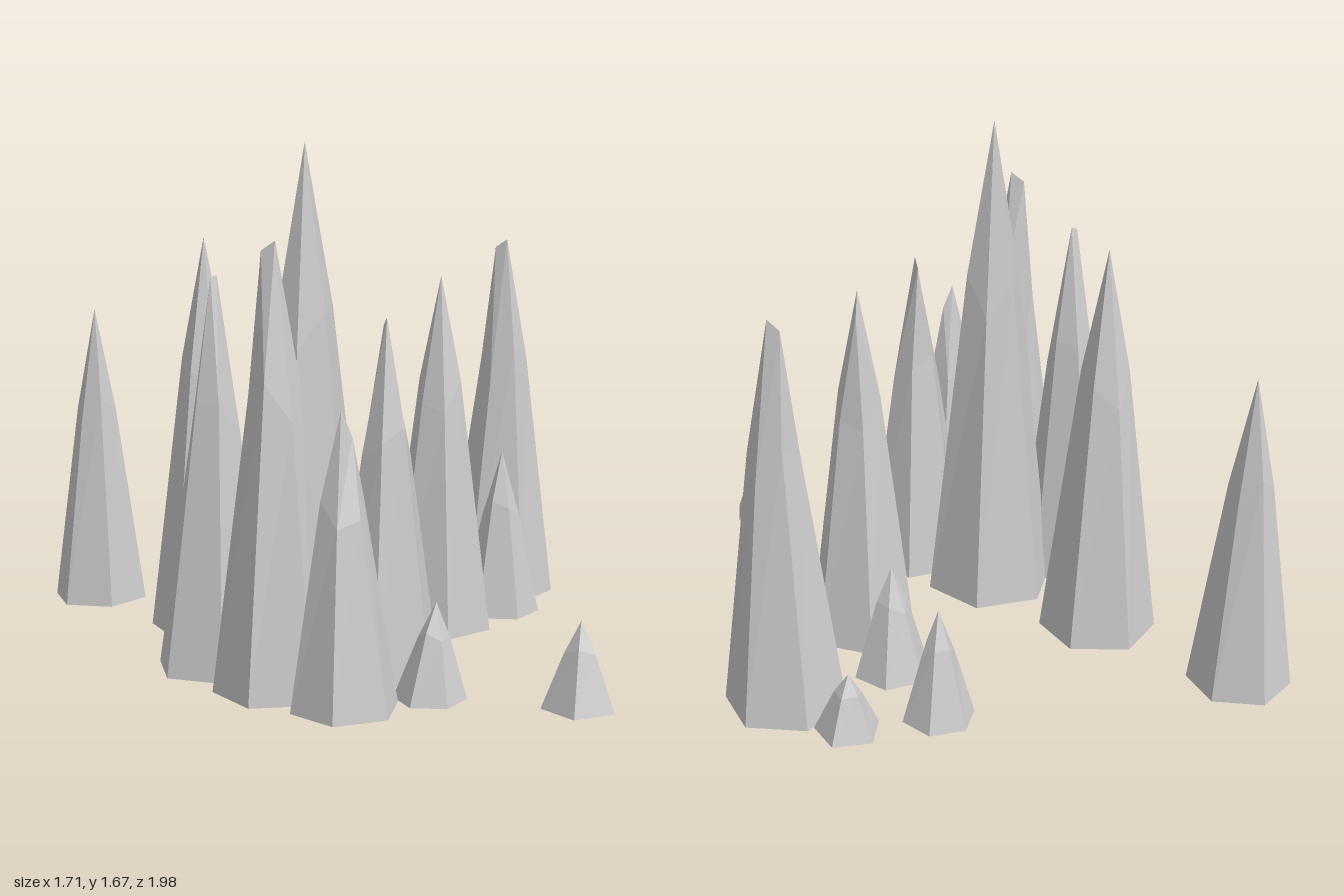
import * as THREE from 'three';

// Each spire: base centre x, z, apex x, height, apex z, radius, sides, turn in degrees,
// and an optional blunt shoulder beside the tip (offset x, y, z from the apex).
const SPIRES = [
  [-0.705, -0.83, -0.705, 1.05, -0.825, 0.167, 6, 30],
  [-0.44, -0.34, -0.44, 1.34, -0.335, 0.195, 6, 23],
  [-0.555, 0.11, -0.53, 1.262, 0.12, 0.185, 6, 38, [-0.02, -0.005, 0]],
  [-0.23, 0.09, -0.23, 1.67, 0.095, 0.222, 6, 5],
  [-0.44, 0.4, -0.43, 1.39, 0.4, 0.195, 6, 13, [-0.035, -0.03, -0.03]],
  [-0.06, 0.357, -0.06, 1.14, 0.37, 0.185, 6, 1, [0.005, -0.03, -0.04]],
  [-0.3, 0.637, -0.31, 0.91, 0.64, 0.171, 6, 2, [0.035, -0.08, 0]],
  [-0.025, 0.645, -0.01, 0.305, 0.655, 0.113, 6, 25],
  [0.36, 0.885, 0.36, 0.272, 0.89, 0.117, 5, 52],
  [0.3, -0.06, 0.3, 1.21, -0.05, 0.187, 6, 42, [0.02, -0.075, -0.04]],
  [0.572, -0.15, 0.572, 0.575, -0.135, 0.14, 6, 26],
  [0.685, -0.4, 0.7, 1.29, -0.39, 0.195, 6, 28, [-0.03, -0.03, -0.03]],
  [0.31, -0.357, 0.31, 0.38, -0.36, 0.127, 6, 0],
  [0.272, -0.668, 0.27, 0.372, -0.66, 0.117, 6, 6],
  [0.56, -0.635, 0.56, 0.205, -0.645, 0.107, 5, 29],
];

// Cross-sections: height share and radius share.
const RINGS = [[0, 1], [0.66, 0.42]];

function spireGeometry([bx, bz, ax, h, az, radius, sides, turn, shoulder], seed) {
  const apex = new THREE.Vector3(ax, h, az);
  const blunt = shoulder && apex.clone().add(new THREE.Vector3(...shoulder));
  const angle = i => THREE.MathUtils.degToRad(turn) + (i / sides) * Math.PI * 2;

  // Base and waist, the waist slightly uneven
  const rings = RINGS.map(([t, s], level) => Array.from({ length: sides }, (_, i) => {
    const wobble = level * 0.05 * Math.sin(seed * 2.3 + i * 2.1);
    return new THREE.Vector3(
      THREE.MathUtils.lerp(bx, ax, t) + Math.cos(angle(i)) * radius * (s - wobble * 0.5),
      h * (t + wobble),
      THREE.MathUtils.lerp(bz, az, t) + Math.sin(angle(i)) * radius * (s - wobble * 0.5));
  }));
  // Tip: corners on the shoulder's side close on the shoulder, the rest on the apex
  rings.push(Array.from({ length: sides }, (_, i) =>
    blunt && Math.cos(angle(i)) * shoulder[0] + Math.sin(angle(i)) * shoulder[2] > 0 ? blunt : apex));

  const points = [];
  const face = (a, b, c) => {
    if (a !== b && b !== c && a !== c) points.push(a, b, c);
  };
  const floor = new THREE.Vector3(bx, 0, bz);
  for (let i = 0; i < sides; i++) {
    const j = (i + 1) % sides;
    for (let k = 0; k < rings.length - 1; k++) {
      const low = rings[k], high = rings[k + 1];
      face(low[i], high[i], low[j]);
      face(low[j], high[i], high[j]);
    }
    face(floor, rings[0][i], rings[0][j]);
  }
  const geometry = new THREE.BufferGeometry().setFromPoints(points);
  geometry.computeVertexNormals();
  return geometry;
}

export function createModel() {
  const model = new THREE.Group();
  model.name = 'rockSpires';
  const stone = new THREE.MeshStandardMaterial({ color: 0xcccccc, flatShading: true });
  SPIRES.forEach((spec, i) => {
    const spire = new THREE.Mesh(spireGeometry(spec, i), stone);
    spire.name = `spire${i + 1}`;
    model.add(spire);
  });
  return model;
}
